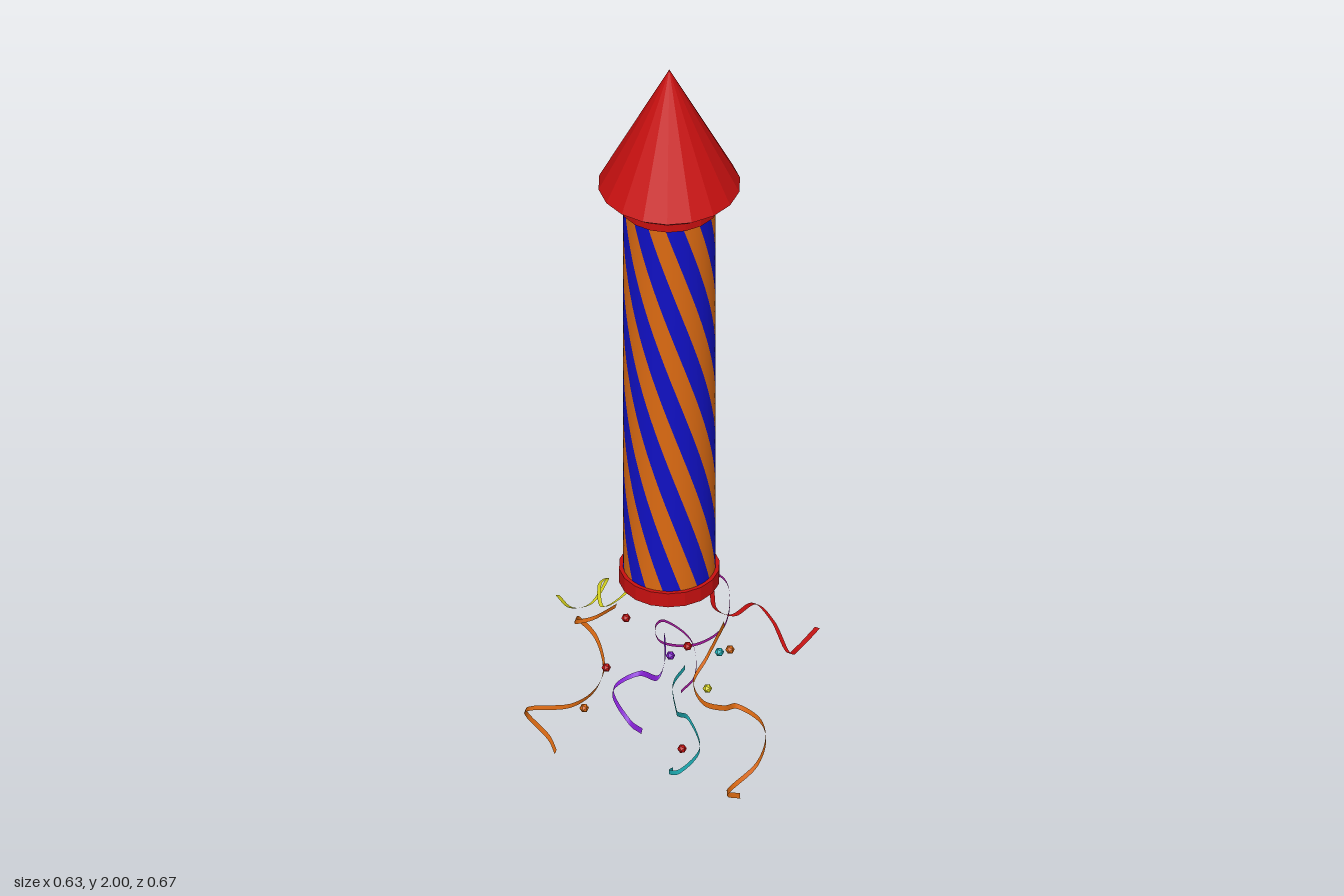
import * as THREE from 'three';

const mat = (name, color, extra = {}) => {
  const m = new THREE.MeshStandardMaterial({ color, ...extra });
  m.name = name;
  return m;
};

export function createModel() {
  const root = new THREE.Group();
  root.name = 'fireworkRocket';
  const C = {
    red: mat('red', 0xc81010, { flatShading: true, side: THREE.DoubleSide }),
    blue: mat('blue', 0x1010c4),
    orange: mat('orange', 0xdc6a12, { side: THREE.DoubleSide }),
    magenta: mat('magenta', 0xd024c8, { side: THREE.DoubleSide }),
    yellow: mat('yellow', 0xdcd820, { side: THREE.DoubleSide }),
    purple: mat('purple', 0x8420d0, { side: THREE.DoubleSide }),
    cyan: mat('cyan', 0x20b4bc, { side: THREE.DoubleSide }),
  };
  const add = (parent, geo, material, name) => {
    const mesh = new THREE.Mesh(geo, material);
    mesh.name = name;
    parent.add(mesh);
    return mesh;
  };
  const lathe = (pts, sides) =>
    new THREE.LatheGeometry(pts.map(([r, y]) => new THREE.Vector2(r, y)), sides);

  // Rocket: body axis sits slightly off centre
  const rocket = new THREE.Group();
  rocket.name = 'rocket';
  rocket.position.set(-0.023, 0, 0.008);
  root.add(rocket);

  // Nose cone with its flared underside
  add(rocket, lathe([[0.105, 1.645], [0.13, 1.65], [0.165, 1.677], [0, 2]], 18), C.red, 'noseCone');
  add(rocket, lathe([[0.1, 1.622], [0.118, 1.622], [0.118, 1.65], [0.1, 1.65]], 18), C.red, 'upperRing');

  // Hollow rim and nozzle at the tail
  add(rocket, lathe([[0, 0.64], [0.085, 0.64], [0.085, 0.56], [0.117, 0.56], [0.117, 0.598], [0.1, 0.598]], 18),
    C.red, 'tailRim');

  // Body tube, twisted so that its alternating strips spiral
  const pairs = 8, rows = 32, height = 1.04, top = 1.63;
  const body = new THREE.CylinderGeometry(0.107, 0.107, height, pairs * 4, rows, true);
  const pos = body.attributes.position, nor = body.attributes.normal;
  const v = new THREE.Vector3(), up = new THREE.Vector3(0, 1, 0);
  for (let i = 0; i < pos.count; i++) {
    const twist = (height / 2 - pos.getY(i)) / height * Math.PI;
    for (const attr of [pos, nor]) {
      v.fromBufferAttribute(attr, i).applyAxisAngle(up, twist);
      attr.setXYZ(i, v.x, v.y, v.z);
    }
  }
  body.clearGroups();
  const strip = 2 * rows * 6;
  for (let i = 0; i < pairs * 2; i++) body.addGroup(i * strip, strip, i % 2);
  add(rocket, body, [C.blue, C.orange], 'stripedBody').position.y = top - height / 2;

  // Streamers: flat ribbons following curled paths
  const ribbon = (points, material, name, axis) => {
    const pts = points.map(p => new THREE.Vector3(...p));
    const curve = new THREE.CatmullRomCurve3(pts);
    const wide = (axis ? new THREE.Vector3(...axis)
      : pts[pts.length - 1].clone().sub(pts[0])).normalize();
    const n = points.length * 7, verts = [], index = [];
    for (let i = 0; i <= n; i++) {
      const p = curve.getPoint(i / n);
      const half = 0.0065;
      verts.push(...p.clone().addScaledVector(wide, half).toArray(),
        ...p.clone().addScaledVector(wide, -half).toArray());
      if (i < n) {
        const a = i * 2;
        index.push(a, a + 1, a + 2, a + 1, a + 3, a + 2);
      }
    }
    const geo = new THREE.BufferGeometry();
    geo.setAttribute('position', new THREE.Float32BufferAttribute(verts, 3));
    geo.setIndex(index);
    geo.computeVertexNormals();
    add(root, geo, material, name);
  };

  ribbon([[-0.11, 0.47, -0.08], [-0.17, 0.46, -0.085], [-0.185, 0.43, -0.13], [-0.14, 0.39, -0.18],
    [-0.11, 0.34, -0.155], [-0.13, 0.29, -0.1], [-0.18, 0.265, -0.072], [-0.25, 0.255, -0.07],
    [-0.31, 0.235, -0.14], [-0.27, 0.16, -0.207], [-0.235, 0.1, -0.17], [-0.24, 0.08, -0.14]],
  C.orange, 'leftStreamer');
  ribbon([[0.05, 0.46, 0.12], [0, 0.47, 0.16], [-0.05, 0.44, 0.18], [-0.08, 0.38, 0.17],
    [-0.06, 0.32, 0.18], [0, 0.28, 0.185], [0.04, 0.265, 0.18], [0.06, 0.25, 0.24],
    [0.03, 0.24, 0.3], [-0.02, 0.21, 0.33], [-0.07, 0.15, 0.3], [-0.05, 0.1, 0.26], [-0.01, 0.075, 0.255]],
  C.orange, 'frontStreamer');
  ribbon([[0.0, 0.46, -0.02], [0.06, 0.465, -0.08], [0.14, 0.46, -0.09], [0.2, 0.41, -0.06],
    [0.17, 0.32, -0.03], [0.11, 0.275, -0.06], [0.07, 0.255, -0.14], [0.1, 0.25, -0.2],
    [0.15, 0.23, -0.228], [0.2, 0.17, -0.19], [0.18, 0.1, -0.155], [0.14, 0.075, -0.155]],
  C.magenta, 'backRightStreamer');
  ribbon([[-0.04, 0.49, -0.1], [-0.07, 0.45, -0.12], [-0.08, 0.405, -0.17], [-0.04, 0.415, -0.23],
    [0.01, 0.39, -0.265], [-0.03, 0.33, -0.277], [-0.07, 0.325, -0.3], [-0.085, 0.35, -0.33]],
  C.yellow, 'backStreamer');
  ribbon([[-0.11, 0.49, 0.1], [-0.125, 0.43, 0.12], [-0.15, 0.4, 0.127], [-0.2, 0.43, 0.12],
    [-0.253, 0.39, 0.09], [-0.245, 0.325, 0.14], [-0.255, 0.335, 0.2]],
  C.purple, 'leftFrontStreamer');
  ribbon([[0.085, 0.49, 0.03], [0.09, 0.44, 0.035], [0.14, 0.4, 0.04], [0.19, 0.42, 0.055],
    [0.207, 0.39, 0.1], [0.2, 0.34, 0.17], [0.25, 0.32, 0.145], [0.31, 0.345, 0.138]],
  C.red, 'rightStreamer');
  ribbon([[0.03, 0.28, 0], [-0.03, 0.27, 0.03], [-0.055, 0.235, 0.075], [-0.02, 0.19, 0.04],
    [0.03, 0.14, 0.015], [0.01, 0.1, 0.08], [-0.04, 0.055, 0.07], [-0.04, 0.03, 0.03], [-0.01, 0.01, 0.005]],
  C.cyan, 'centreStreamer', [0, 1, 0]);

  // Confetti beads
  const bead = new THREE.IcosahedronGeometry(0.011, 0);
  const beads = new THREE.Group();
  beads.name = 'confetti';
  root.add(beads);
  [['red', -0.21, 0.39, 0.01], ['red', -0.145, 0.243, 0.21], ['red', -0.065, 0.405, -0.1],
    ['red', -0.01, 0.39, 0.06], ['orange', -0.18, 0.195, -0.11], ['orange', 0.15, 0.285, 0.015],
    ['yellow', 0.135, 0.145, -0.05], ['purple', -0.025, 0.345, 0.015], ['cyan', 0.02, 0.405, 0.14],
  ].forEach(([c, x, y, z]) => add(beads, bead, C[c], c + 'Bead').position.set(x, y, z));

  return root;
}
